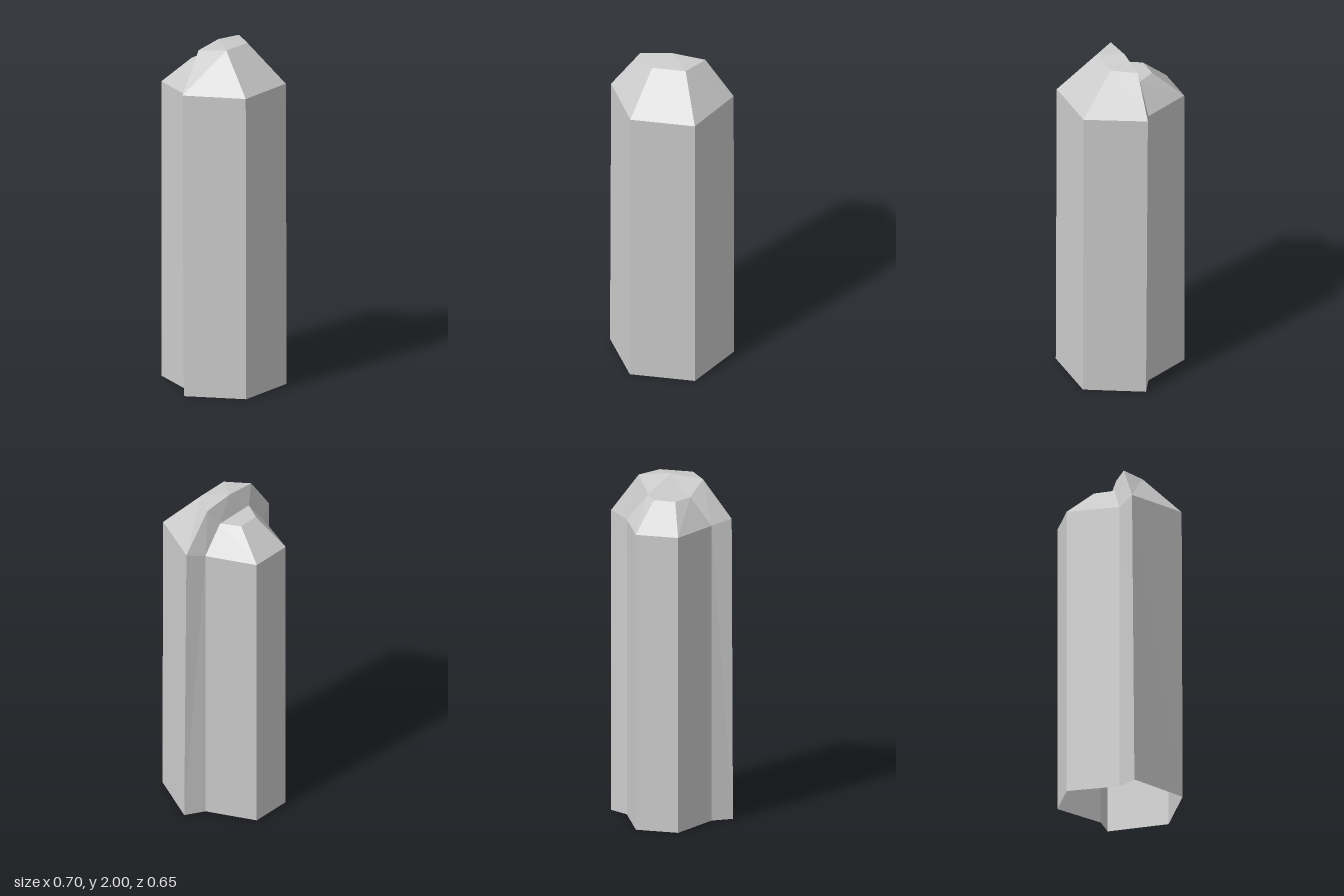
import * as THREE from 'three';

const material = new THREE.MeshStandardMaterial({
  color: 0xcccccc, flatShading: true, side: THREE.DoubleSide,
});

// Builds a faceted part from convex faces of its +x half, mirrored across x = 0.
// Corners run counter-clockwise from outside; each face is a fan from its first corner.
function mirroredPart(name, faces) {
  const positions = [];
  const flip = ([x, y, z]) => [-x, y, z];
  for (const face of faces) {
    for (let i = 1; i < face.length - 1; i++) {
      const [a, b, c] = [face[0], face[i], face[i + 1]];
      positions.push(...a, ...b, ...c, ...flip(a), ...flip(c), ...flip(b));
    }
  }
  const geometry = new THREE.BufferGeometry();
  geometry.setAttribute('position', new THREE.Float32BufferAttribute(positions, 3));
  geometry.computeVertexNormals();
  const mesh = new THREE.Mesh(geometry, material);
  mesh.name = name;
  return mesh;
}

export function createModel() {
  // Half outlines from the front centre round to the back centre
  const base = [
    [0, 0, 0.325], [0.185, 0, 0.325], [0.352, 0, 0.013],
    [0.245, 0, -0.05], [0.122, 0, -0.325], [0, 0, -0.325],
  ];
  const rim = [
    [0, 1.757, 0.32], [0.183, 1.757, 0.32], [0.348, 1.757, 0],
    [0.245, 1.723, -0.05], [0.122, 1.723, -0.325], [0, 1.723, -0.325],
  ];
  const [frontMid, frontCorner, side, notch, backCorner, backMid] = rim;

  // Tall front crystal: crown corners and peak
  const peak = [0, 2, -0.015];
  const crownMid = [0, 1.98, 0.115];
  const crownFront = [0.095, 1.98, 0.115];
  const crownBack = [0.185, 1.98, -0.012];

  // Shorter back crystal: flat top corners
  const ledge = [0.122, 1.88, -0.05];
  const ledgeMid = [0, 1.88, -0.05];
  const backTop = [0.062, 1.88, -0.155];
  const backTopMid = [0, 1.88, -0.155];

  // Walls, open at the bottom
  const walls = [];
  for (let i = 0; i < base.length - 1; i++) {
    walls.push([base[i], base[i + 1], rim[i + 1], rim[i]]);
  }

  const group = new THREE.Group();
  group.name = 'twinCrystal';
  group.add(
    mirroredPart('shaft', walls),
    mirroredPart('frontCrystalTip', [
      [frontMid, frontCorner, crownFront, crownMid],
      [crownFront, frontCorner, side],
      [crownFront, side, crownBack],
      [peak, crownMid, crownFront, crownBack],
    ]),
    // Steep strip joining the two tips
    mirroredPart('joiningStrip', [
      [peak, crownBack, ledge, ledgeMid],
      [crownBack, side, notch, ledge],
    ]),
    mirroredPart('backCrystalTip', [
      [ledgeMid, ledge, backTop, backTopMid],
      [ledge, notch, backCorner, backTop],
      [backTopMid, backTop, backCorner, backMid],
    ]),
  );
  return group;
}
